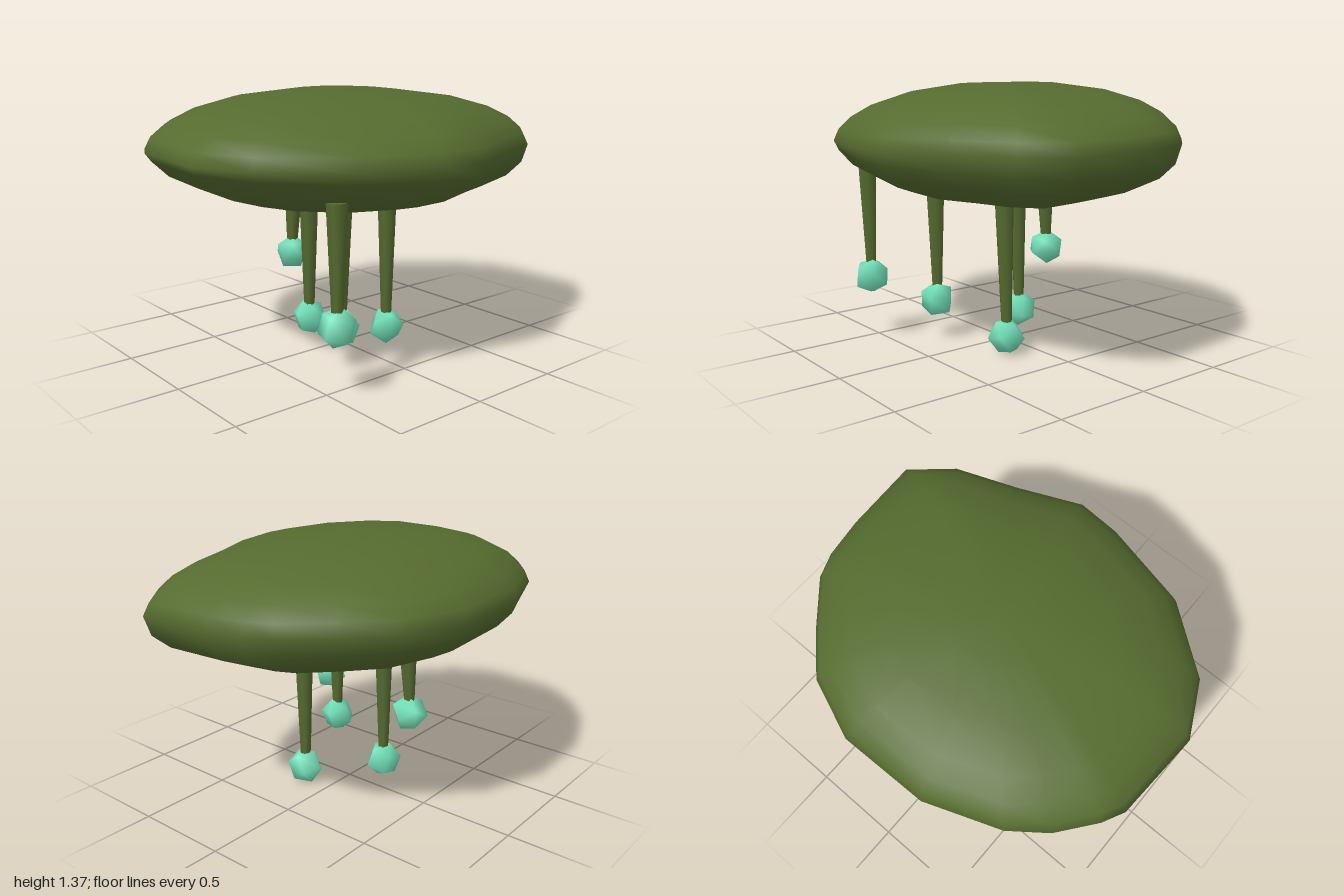
import * as THREE from 'three';
import { mergeVertices } from 'three/addons/utils/BufferGeometryUtils.js';

// Body plan outline as [x, z], clockwise seen from above
const OUTLINE = [
  [-0.24, -0.84], [0.22, -0.85], [0.53, -0.73], [0.72, -0.54], [0.9, -0.33], [0.95, -0.2],
  [0.98, 0], [1, 0.4], [0.8, 0.58], [0.48, 0.7], [0.15, 0.845], [-0.08, 0.83], [-0.53, 0.72],
  [-0.86, 0.46], [-1, 0.18], [-0.975, -0.28], [-0.92, -0.39], [-0.78, -0.57], [-0.61, -0.7],
];
// Body rings as [outline scale, height], top to bottom
const RINGS = [
  [0, 1.375], [0.27, 1.37], [0.57, 1.33], [0.78, 1.27], [0.9, 1.21], [0.97, 1.15], [1, 1.09],
  [0.97, 1.02], [0.89, 0.945], [0.75, 0.88], [0.57, 0.828], [0.22, 0.785], [0, 0.78],
];

function bodyGeometry() {
  const n = OUTLINE.length, positions = [], index = [];
  RINGS.forEach(([s, y], i) => {
    for (const [x, z] of OUTLINE) {
      const tilt = i > 6 && i < 11 ? -0.03 * x * s : 0; // underside hangs lower on the left
      positions.push(x * s, y + tilt - 0.02 * z * s, z * s);
    }
    if (i === RINGS.length - 1) return;
    for (let j = 0; j < n; j++) {
      const a = i * n + j, c = i * n + (j + 1) % n, b = a + n, d = c + n;
      if (i > 0) index.push(a, c, b);
      if (i < RINGS.length - 2) index.push(c, d, b);
    }
    // close the poles with single fans
    if (i === 0) return;
  });
  const g = new THREE.BufferGeometry();
  g.setAttribute('position', new THREE.Float32BufferAttribute(positions, 3));
  g.setIndex(index);
  const merged = mergeVertices(g, 1e-4);
  merged.computeVertexNormals();
  return merged;
}

// Coarse, softly shaded bulb
function bulbGeometry(r) {
  const g = new THREE.SphereGeometry(r, 5, 3);
  g.deleteAttribute('uv');
  g.deleteAttribute('normal');
  const merged = mergeVertices(g, 1e-4);
  merged.computeVertexNormals();
  return merged;
}

// Tendrils: top point, bulb centre, bulb tilt
const TENDRILS = [
  { top: [-0.48, 0.925, 0.555], bulb: [-0.475, 0.34, 0.55], turn: [0.15, 0.3, -0.25] },
  { top: [-0.235, 0.82, 0.29], bulb: [-0.235, 0.215, 0.285], turn: [0.5, 0.8, -0.4] },
  { top: [-0.095, 0.82, -0.155], bulb: [-0.09, 0.12, -0.165], turn: [-0.3, 0.2, 0.2] },
  { top: [0.185, 0.825, 0.158], bulb: [0.195, 0.09, 0.15], turn: [0.3, 1.1, 0.35] },
  { top: [-0.065, 0.84, -0.33], bulb: [-0.07, 0.45, -0.345], turn: [0.6, 0.5, 0.5] },
];

export function createModel() {
  const model = new THREE.Group();
  const olive = new THREE.MeshStandardMaterial({ color: 0x556b2f });
  olive.name = 'olive';
  const aqua = new THREE.MeshStandardMaterial({ color: 0x74e4bb });
  aqua.name = 'aqua';

  const add = (parent, name, geometry, material) => {
    const mesh = new THREE.Mesh(geometry, material);
    mesh.name = name;
    parent.add(mesh);
    return mesh;
  };

  add(model, 'body', bodyGeometry(), olive);

  const bulb = bulbGeometry(0.098);
  const up = new THREE.Vector3(0, 1, 0);
  for (const { top, bulb: at, turn } of TENDRILS) {
    const tendril = new THREE.Group();
    tendril.name = 'tendril';
    model.add(tendril);

    // Tapered stalk from the underside into the bulb
    const start = new THREE.Vector3(...top);
    const end = new THREE.Vector3(...at).add(new THREE.Vector3(0, 0.05, 0));
    const axis = start.clone().sub(end);
    const stalk = add(tendril, 'stalk', new THREE.CylinderGeometry(0.052, 0.028, axis.length(), 6), olive);
    stalk.position.copy(start).add(end).multiplyScalar(0.5);
    stalk.quaternion.setFromUnitVectors(up, axis.normalize());

    const tip = add(tendril, 'bulb', bulb, aqua);
    tip.position.set(...at);
    tip.rotation.set(...turn);
  }
  return model;
}
